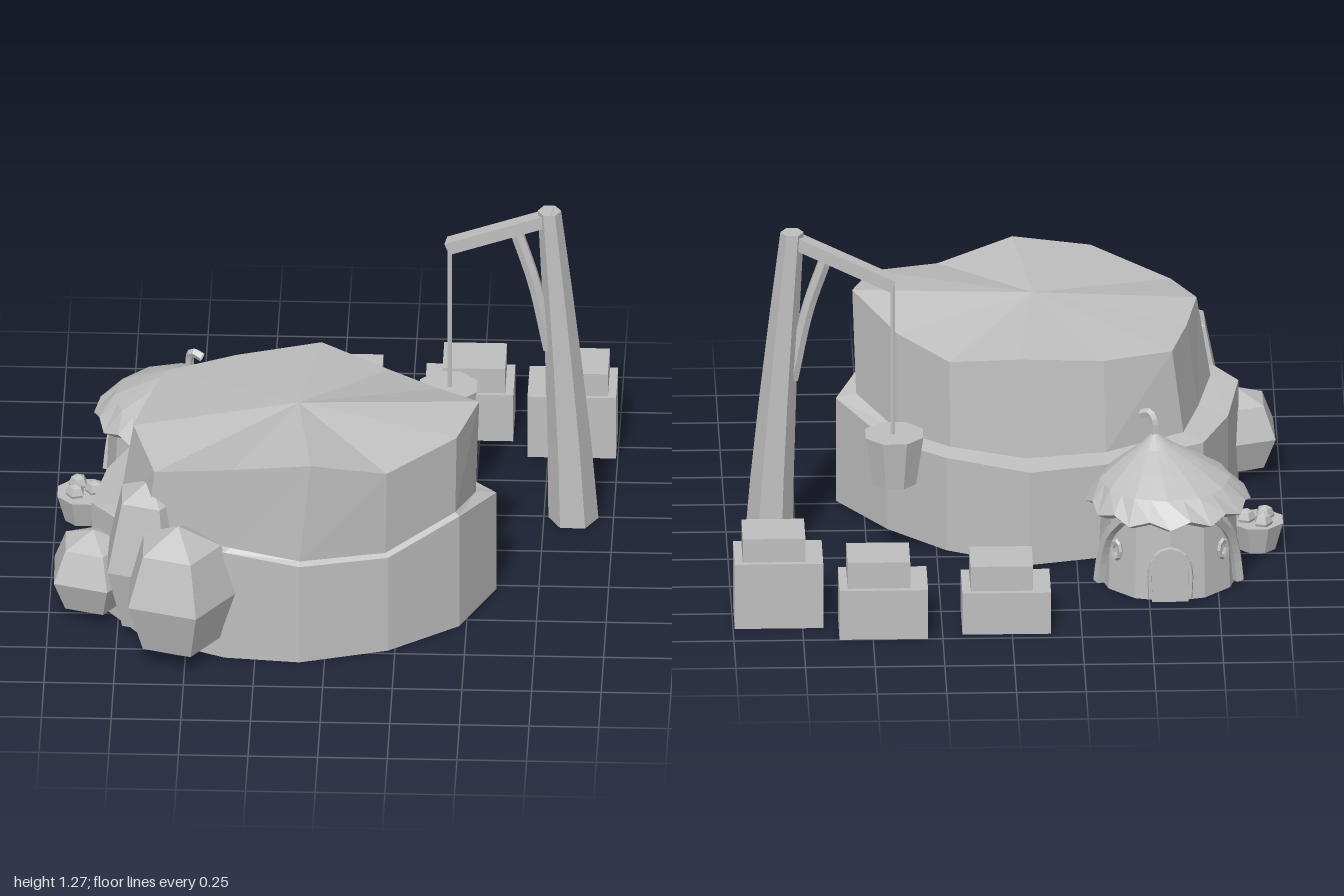
import * as THREE from 'three';

const stone = new THREE.MeshStandardMaterial({ color: 0xbfbfbf, flatShading: true, side: THREE.DoubleSide });
stone.name = 'plain grey';

function add(parent, name, geometry, x = 0, y = 0, z = 0) {
  const mesh = new THREE.Mesh(geometry, stone);
  mesh.name = name;
  mesh.position.set(x, y, z);
  parent.add(mesh);
  return mesh;
}

function group(parent, name, x = 0, y = 0, z = 0) {
  const g = new THREE.Group();
  g.name = name;
  g.position.set(x, y, z);
  parent.add(g);
  return g;
}

const vec = (p) => new THREE.Vector3(...p);
const tube = (points, radius, sides = 6, steps = 8) =>
  new THREE.TubeGeometry(new THREE.CatmullRomCurve3(points.map(vec)), steps, radius, sides);

// Shell through rings of [x, y, z] points; an optional centre point closes the last ring
function shell(rings, centre) {
  const pos = [];
  rings.slice(1).forEach((top, k) => top.forEach((t, i) => {
    const b = rings[k], j = (i + 1) % top.length;
    pos.push(...b[j], ...b[i], ...t, ...b[j], ...t, ...top[j]);
  }));
  if (centre) {
    const last = rings[rings.length - 1];
    last.forEach((p, i) => pos.push(...centre, ...last[(i + 1) % last.length], ...p));
  }
  const g = new THREE.BufferGeometry();
  g.setAttribute('position', new THREE.Float32BufferAttribute(pos, 3));
  g.computeVertexNormals();
  return g;
}

function buildRock(root) {
  const rock = group(root, 'rock');
  const lower = [
    [-0.08, 0.36, -0.335], [0.215, 0.36, -0.19], [0.42, 0.345, 0.01], [0.598, 0.4, 0.275], [0.475, 0.455, 0.545],
    [0.225, 0.385, 0.73], [-0.09, 0.395, 0.825], [-0.36, 0.435, 0.8], [-0.65, 0.42, 0.67], [-0.85, 0.4, 0.4],
    [-0.805, 0.38, 0.12], [-0.71, 0.37, -0.1], [-0.35, 0.36, -0.27]];
  const upperFoot = [
    [-0.07, -0.23], [0.2, -0.115], [0.385, 0.08], [0.525, 0.29], [0.46, 0.535], [0.215, 0.715], [-0.09, 0.805],
    [-0.34, 0.785], [-0.645, 0.655], [-0.75, 0.42], [-0.7, 0.19], [-0.64, -0.03], [-0.36, -0.18]];
  const upperTop = [
    [-0.045, 0.74, -0.19], [0.2, 0.69, -0.09], [0.385, 0.725, 0.1], [0.538, 0.802, 0.32], [0.465, 0.78, 0.545],
    [0.22, 0.73, 0.725], [-0.05, 0.8, 0.8], [-0.33, 0.77, 0.785], [-0.615, 0.685, 0.665], [-0.7, 0.725, 0.4],
    [-0.66, 0.71, 0.19], [-0.6, 0.7, -0.035], [-0.35, 0.71, -0.14]];
  const ground = lower.map(([x, , z]) => [x, 0, z]);
  const foot = upperFoot.map(([x, z], i) => [x, lower[i][1] + 0.012, z]);
  add(rock, 'lowerTier', shell([ground, lower]));
  add(rock, 'ledge', shell([lower, foot]));
  add(rock, 'upperTier', shell([foot, upperTop], [-0.11, 0.785, 0.32]));
}

function buildBushes(root) {
  const bushes = group(root, 'bushes');
  const turn = THREE.MathUtils.degToRad(37);
  // x, centre height, z, radius, half height
  [[-0.526, 0.268, 0.79, 0.218, 0.268], [-0.842, 0.17, 0.485, 0.172, 0.168]].forEach(([x, y, z, r, h]) => {
    const bush = add(bushes, 'roundBush', new THREE.SphereGeometry(1, 5, 4), x, y, z);
    bush.scale.set(r, h, r);
    bush.rotation.y = turn;
  });
  // taller barrel-shaped bush between the two
  const profile = [[0.001, 0], [0.12, 0.05], [0.185, 0.29], [0.122, 0.555], [0.001, 0.615]];
  const tall = new THREE.LatheGeometry(profile.map(([r, y]) => new THREE.Vector2(r, y)), 5);
  add(bushes, 'tallBush', tall, -0.635, 0, 0.6).rotation.y = turn - Math.PI / 10;
}

// Box without its bottom face
function openBox(w, h, d) {
  const g = new THREE.BoxGeometry(w, h, d);
  const index = Array.from(g.index.array);
  index.splice(18, 6);
  g.setIndex(index);
  g.clearGroups();
  return g;
}

function buildBlocks(root) {
  // x, z, height of large block, full height
  [[0.02, -0.855, 0.16, 0.255], [0.462, -0.89, 0.19, 0.29], [0.835, -0.78, 0.25, 0.34]].forEach(([x, z, h, top]) => {
    const stack = group(root, 'stackedBlocks', x, 0, z);
    add(stack, 'largeBlock', openBox(0.318, h, 0.22), 0, h / 2, 0);
    add(stack, 'smallBlock', openBox(0.225, top - h, 0.185), 0.017, (top + h) / 2, 0.003);
  });
}

function buildCrane(root) {
  const crane = group(root, 'crane');
  // leaning post: a tapered prism sheared along x
  const post = new THREE.CylinderGeometry(0.042, 0.09, 1.27, 6, 4);
  post.rotateY(Math.PI / 2);
  post.translate(0, 0.635, 0);
  const p = post.attributes.position;
  for (let i = 0; i < p.count; i++) p.setX(i, p.getX(i) + 0.856 - 0.086 * Math.pow(Math.max(p.getY(i), 0) / 1.27, 1.3));
  add(crane, 'post', post, 0, 0, -0.245);

  // boom
  const a = vec([0.79, 1.25, -0.24]);
  const b = vec([0.405, 1.085, -0.3]);
  const boom = add(crane, 'boom', new THREE.BoxGeometry(0.055, 0.047, a.distanceTo(b)));
  boom.position.copy(a).add(b).multiplyScalar(0.5);
  boom.lookAt(a);

  add(crane, 'brace', tube([[0.648, 1.18, -0.265], [0.715, 0.97, -0.25], [0.77, 0.7, -0.245]], 0.025));
  add(crane, 'rope', new THREE.CylinderGeometry(0.009, 0.009, 0.59, 6), 0.41, 0.79, -0.3);
  add(crane, 'bucket', new THREE.CylinderGeometry(0.112, 0.084, 0.185, 8), 0.405, 0.412, -0.3).rotation.y = Math.PI / 8;
}

function buildHut(root) {
  const hut = group(root, 'hut', -0.575, 0, -0.43);
  add(hut, 'wall', new THREE.CylinderGeometry(0.24, 0.252, 0.32, 12), 0, 0.16, 0);

  // thatched roof: scalloped rim, peak leaning off centre
  const profile = [[0.25, 0.28], [0.29, 0.305], [0.23, 0.375], [0.15, 0.43], [0.06, 0.485], [0.001, 0.535]];
  const roof = new THREE.LatheGeometry(profile.map(([r, y]) => new THREE.Vector2(r, y)), 24);
  const p = roof.attributes.position;
  for (let i = 0; i < p.count; i++) {
    const x = p.getX(i), z = p.getZ(i), r = Math.hypot(x, z);
    const wave = Math.cos(Math.atan2(z, x) * 12) * (r / 0.29);
    const lean = 1 - r / 0.29;
    p.setXYZ(i, x * (1 + 0.02 * wave) + 0.05 * lean, p.getY(i) - (r > 0.24 ? 0.012 * wave : 0),
      z * (1 + 0.02 * wave) + 0.06 * lean);
  }
  add(hut, 'roof', roof);
  add(hut, 'roofTip', tube([[0.05, 0.51, 0.06], [0.05, 0.57, 0.065], [0.065, 0.595, 0.08], [0.095, 0.585, 0.095]], 0.017, 5));

  // arched door at the back
  const arch = new THREE.Shape();
  arch.moveTo(-0.065, 0).lineTo(0.065, 0).lineTo(0.065, 0.13).absarc(0, 0.13, 0.065, 0, Math.PI);
  const door = add(hut, 'door', new THREE.ExtrudeGeometry(arch, { depth: 0.02, bevelEnabled: false, curveSegments: 6 }), 0, 0, -0.235);
  door.rotation.y = Math.PI;
  const frame = [[-0.07, 0.01], [-0.07, 0.13], [-0.045, 0.18], [0, 0.2], [0.045, 0.18], [0.07, 0.13], [0.07, 0.01]];
  add(hut, 'doorFrame', tube(frame.map(([x, y]) => [x, y, -0.248]), 0.01, 5, 16));

  // curved beams and round windows on both sides
  for (const s of [1, -1]) {
    add(hut, 'beam', tube([[s * 0.25, 0.015, -0.085], [s * 0.238, 0.12, -0.1], [s * 0.215, 0.22, -0.135], [s * 0.17, 0.295, -0.185]], 0.022, 5));
    const porthole = add(hut, 'windowFrame', new THREE.TorusGeometry(0.022, 0.009, 5, 8), s * 0.19, 0.165, -0.158);
    porthole.scale.y = 1.4;
    porthole.rotation.y = s * Math.atan2(0.19, -0.158);
  }
}

function buildBasket(root) {
  const basket = group(root, 'fruitBasket', -0.9, 0, -0.185);
  add(basket, 'basket', new THREE.CylinderGeometry(0.1, 0.07, 0.105, 8), 0, 0.0525, 0).rotation.y = Math.PI / 8;
  for (const [x, z] of [[-0.02, -0.045], [0.04, -0.005], [-0.028, 0.024]])
    add(basket, 'fruit', new THREE.SphereGeometry(0.036, 5, 4), x, 0.115, z);
}

export function createModel() {
  const root = new THREE.Group();
  root.name = 'rockyCamp';
  [buildRock, buildBushes, buildBlocks, buildCrane, buildHut, buildBasket].forEach((build) => build(root));
  return root;
}
